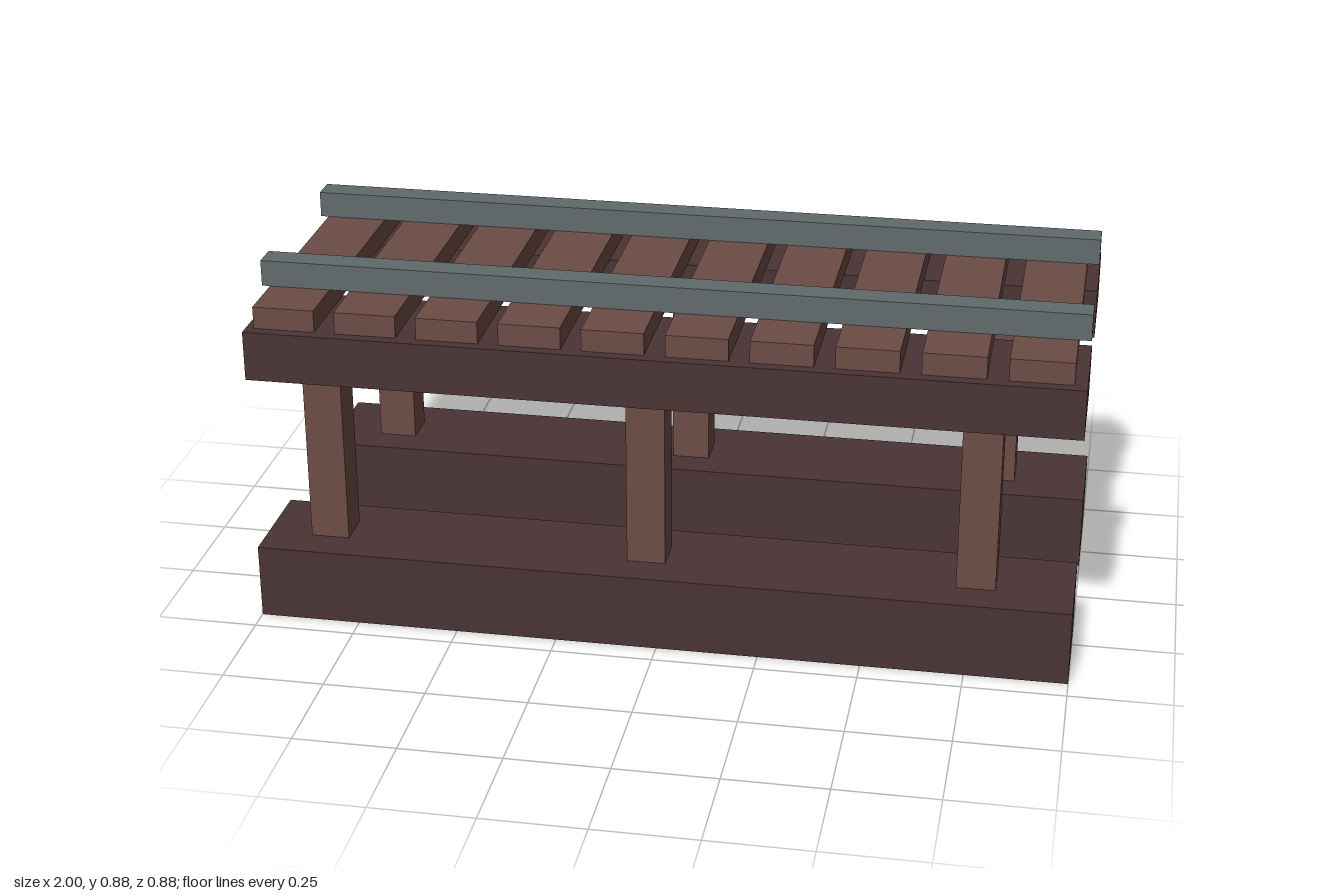
import * as THREE from 'three';

const darkWood = new THREE.MeshStandardMaterial({ color: 0x4a3434 });
const wood = new THREE.MeshStandardMaterial({ color: 0x6d4c45 });
const steel = new THREE.MeshStandardMaterial({ color: 0x616a6c });

// Box given by its extents on each axis
function block(name, material, [x0, x1], [y0, y1], [z0, z1]) {
  const mesh = new THREE.Mesh(new THREE.BoxGeometry(x1 - x0, y1 - y0, z1 - z0), material);
  mesh.position.set((x0 + x1) / 2, (y0 + y1) / 2, (z0 + z1) / 2);
  mesh.name = name;
  return mesh;
}

const around = (centre, size) => [centre - size / 2, centre + size / 2];

export function createModel() {
  const model = new THREE.Group();
  model.name = 'trestleTrack';
  const length = [-1, 1];

  // Two trestle sides: ground beam, posts, top beam and the rail above
  const sides = [
    { name: 'front', beamZ: 0.309, postZ: 0.307, railZ: 0.246, shift: 0 },
    { name: 'back', beamZ: -0.306, postZ: -0.301, railZ: -0.244, shift: 0.006 },
  ];
  for (const { name, beamZ, postZ, railZ, shift } of sides) {
    const side = new THREE.Group();
    side.name = name + 'Side';
    side.add(block('groundBeam', darkWood, length, [0, 0.188], around(beamZ, 0.268)));
    side.add(block('topBeam', darkWood, length, [0.641, 0.765], around(beamZ, 0.268)));
    for (const x of [-0.84, -0.04, 0.765]) {
      side.add(block('post', wood, around(x + shift, 0.095), [0.188, 0.641], around(postZ, 0.095)));
    }
    side.add(block('rail', steel, length, [0.82, 0.885], around(railZ, 0.065)));
    model.add(side);
  }

  // Cross ties
  const ties = new THREE.Group();
  ties.name = 'ties';
  for (let i = 0; i < 10; i++) {
    ties.add(block('tie', wood, around(-0.905 + i * 0.2, 0.15), [0.765, 0.82], [-0.42, 0.415]));
  }
  model.add(ties);

  return model;
}
